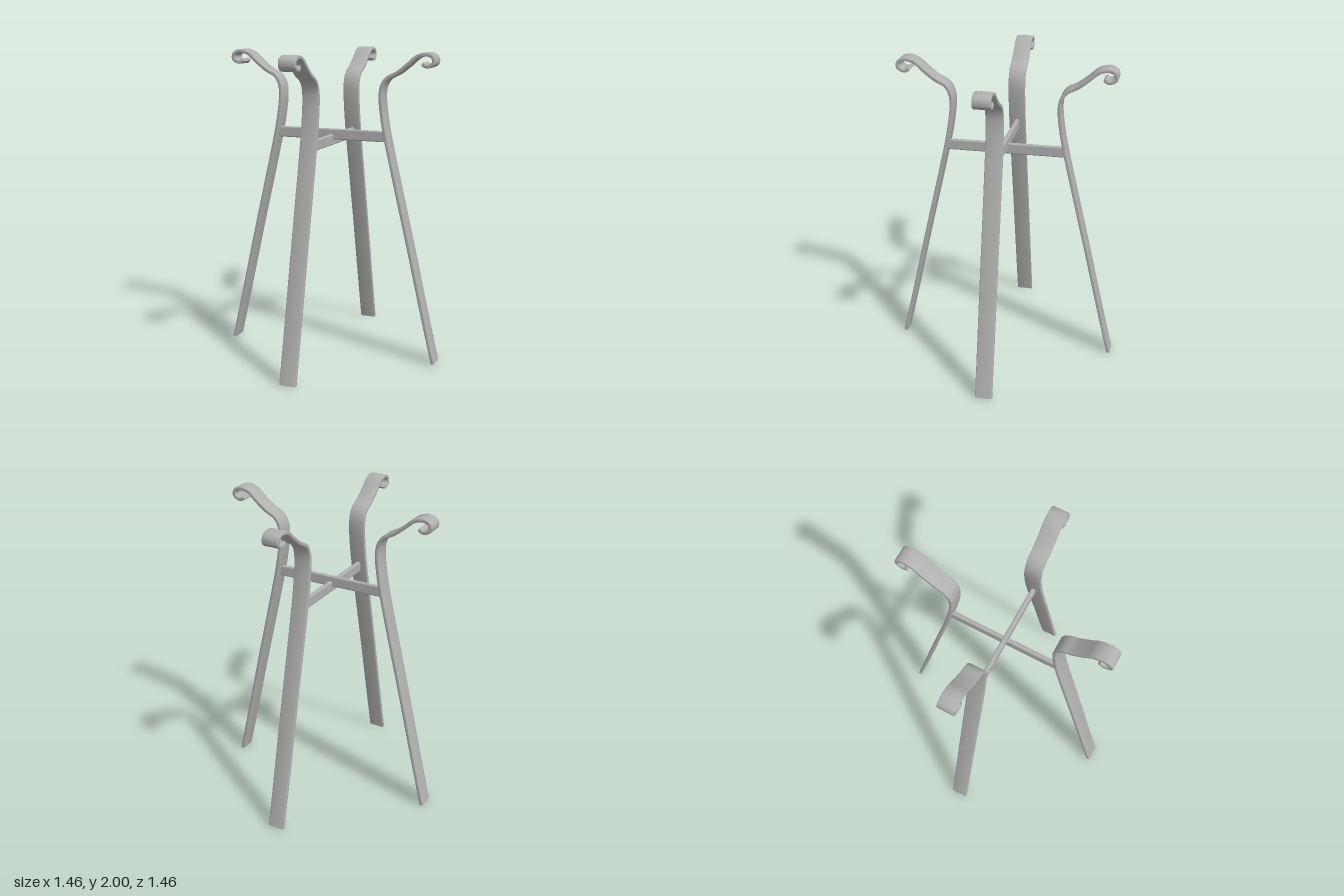
import * as THREE from 'three';
import { toCreasedNormals } from 'three/addons/utils/BufferGeometryUtils.js';
import { RoundedBoxGeometry } from 'three/addons/geometries/RoundedBoxGeometry.js';

const WIDTH = 0.11, THICK = 0.023, BEVEL = 0.005;

// Flat bar bent along a side profile: splayed foot, waist, shoulder and scroll
function legGeometry() {
  const curve = new THREE.SplineCurve([
    [0.72, 0.007], [0.632, 0.38], [0.545, 0.76], [0.462, 1.11], [0.386, 1.437],
    [0.357, 1.59], [0.344, 1.71], [0.352, 1.785], [0.385, 1.837], [0.45, 1.872],
    [0.515, 1.922], [0.575, 1.973], [0.635, 1.989], [0.678, 1.972], [0.685, 1.938],
    [0.66, 1.919], [0.634, 1.917], [0.616, 1.929],
  ].map(([x, y]) => new THREE.Vector2(x, y)));
  const half = THICK / 2 - BEVEL, outer = [], inner = [];
  const steps = 102;
  for (let i = 0; i <= steps; i++) {
    const p = curve.getPoint(i / steps), t = curve.getTangent(i / steps);
    outer.push(new THREE.Vector2(p.x + t.y * half, p.y - t.x * half));
    inner.unshift(new THREE.Vector2(p.x - t.y * half, p.y + t.x * half));
  }
  const depth = WIDTH - 2 * BEVEL;
  const geo = new THREE.ExtrudeGeometry(new THREE.Shape([...outer, ...inner]), {
    depth, bevelEnabled: true, bevelSize: BEVEL, bevelThickness: BEVEL, bevelSegments: 3,
  });
  geo.translate(0, 0, -depth / 2);
  return toCreasedNormals(geo, 0.7);
}

export function createModel() {
  const group = new THREE.Group();
  group.name = 'scrolledStand';
  const metal = new THREE.MeshStandardMaterial({ color: 0xb0b0b0 });
  metal.name = 'grey metal';

  // Four identical legs around the vertical axis
  const leg = legGeometry();
  ['leftLeg', 'backLeg', 'rightLeg', 'frontLeg'].forEach((name, i) => {
    const mesh = new THREE.Mesh(leg, metal);
    mesh.name = name;
    mesh.rotation.y = i * Math.PI / 2;
    group.add(mesh);
  });

  // Crossed braces, one slightly above the other
  const addBrace = (name, length, y, turn) => {
    const mesh = new THREE.Mesh(new RoundedBoxGeometry(length, 0.07, 0.028, 3, 0.009), metal);
    mesh.name = name;
    mesh.position.y = y;
    mesh.rotation.y = turn;
    group.add(mesh);
  };
  addBrace('sideToSideBrace', 0.756, 1.465, 0);
  addBrace('frontToBackBrace', 0.772, 1.43, Math.PI / 2);
  return group;
}
